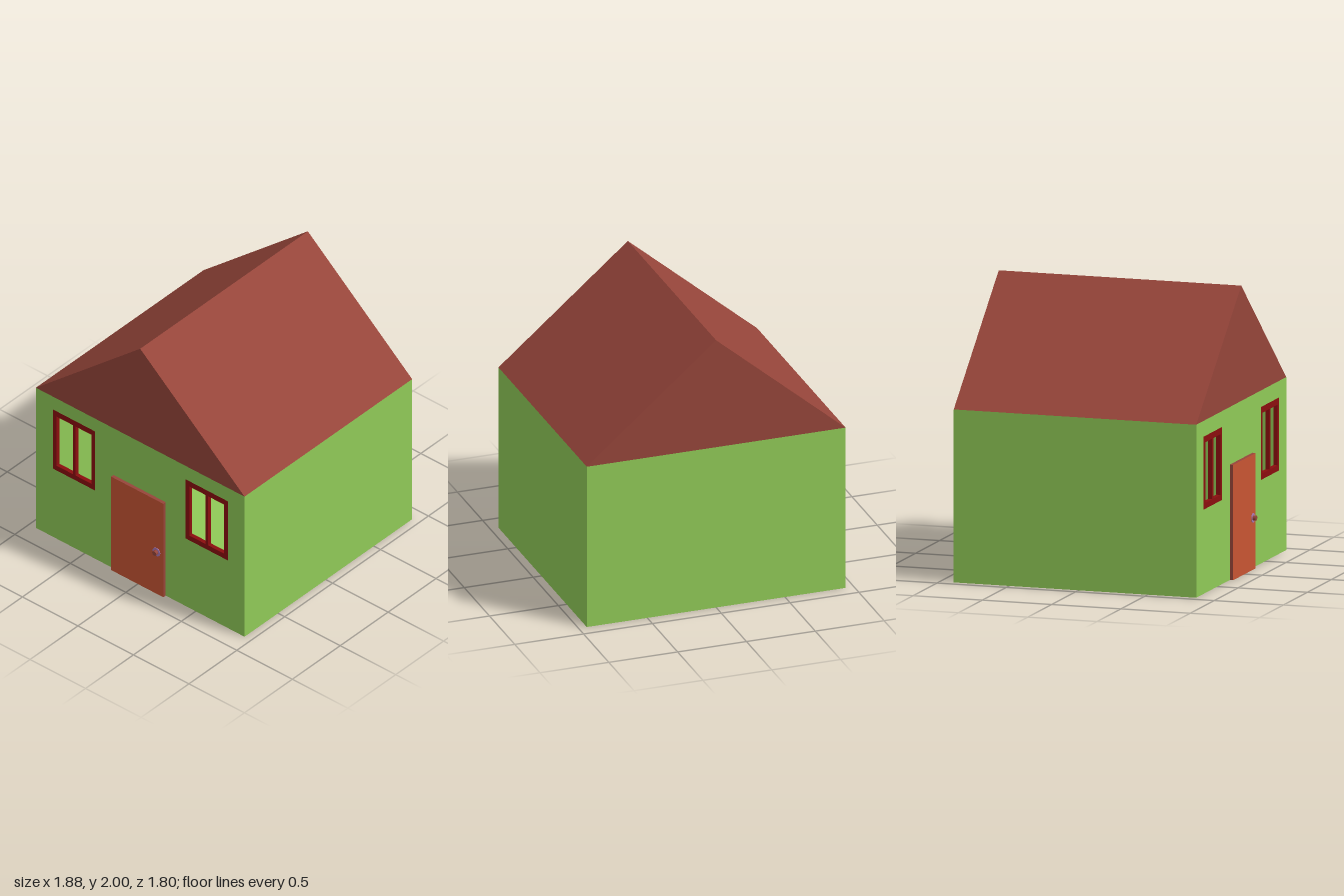
import * as THREE from 'three';

const W = 0.94, EAVE = 1.2, RIDGE = 2, FRONT = 0.85, BACK = -0.9, T = 0.012;

const paint = (name, color) => {
  const m = new THREE.MeshStandardMaterial({ color });
  m.name = name;
  return m;
};

// Rectangle from corner to corner, as a shape or a hole
function rect(x0, y0, x1, y1, Type = THREE.Shape) {
  const p = new Type();
  p.moveTo(x0, y0);
  p.lineTo(x1, y0);
  p.lineTo(x1, y1);
  p.lineTo(x0, y1);
  p.closePath();
  return p;
}

const extrude = (shape, depth) =>
  new THREE.ExtrudeGeometry(shape, { depth, bevelEnabled: false });

export function createModel() {
  const house = new THREE.Group();
  house.name = 'house';
  const green = paint('wall green', 0x90ca57);
  const red = paint('roof red', 0x96453a);
  const orange = paint('door orange', 0xc85533);
  const darkRed = paint('window dark red', 0x8b0e0e);
  const purple = paint('handle purple', 0xa878b8);

  const add = (name, geometry, material, x = 0, y = 0, z = 0, parent = house) => {
    const mesh = new THREE.Mesh(geometry, material);
    mesh.name = name;
    mesh.position.set(x, y, z);
    parent.add(mesh);
    return mesh;
  };

  // Hollow room: floor, back and side walls, and a front wall with window holes
  const midZ = (FRONT + BACK) / 2, depth = FRONT - BACK;
  const windows = [
    { name: 'rightWindow', x: -0.595, y: 0.837 },
    { name: 'leftWindow', x: 0.6, y: 0.832 },
  ];
  const hw = 0.19, hh = 0.253;
  const front = rect(-W, 0, W, EAVE);
  for (const { x, y } of windows) front.holes.push(rect(x - hw, y - hh, x + hw, y + hh, THREE.Path));
  add('frontWall', extrude(front, T), green, 0, 0, FRONT - T);
  add('backWall', new THREE.BoxGeometry(2 * W, EAVE, T), green, 0, EAVE / 2, BACK + T / 2);
  add('floor', new THREE.BoxGeometry(2 * W - 2 * T, T, depth - 2 * T), green, 0, T / 2, midZ);
  for (const s of [-1, 1]) {
    add(s < 0 ? 'rightWall' : 'leftWall', new THREE.BoxGeometry(T, EAVE, depth - 2 * T), green,
      s * (W - T / 2), EAVE / 2, midZ);
  }

  // Gable roof
  const gable = new THREE.Shape();
  gable.moveTo(-W, EAVE);
  gable.lineTo(W, EAVE);
  gable.lineTo(0, RIDGE);
  gable.closePath();
  add('roof', extrude(gable, depth), red, 0, 0, BACK);

  // Open window frames, flush with the front wall, with a central bar
  const frame = rect(-hw, -hh, hw, hh);
  for (const s of [-1, 1]) {
    frame.holes.push(rect(Math.min(s * 0.012, s * 0.157), -0.212, Math.max(s * 0.012, s * 0.157), 0.208, THREE.Path));
  }
  for (const { name, x, y } of windows) add(name, extrude(frame, 0.03), darkRed, x, y, FRONT - 0.03);

  // Door slab with an orange face and red edges
  add('door', new THREE.BoxGeometry(0.47, 0.8, 0.025), [red, red, red, red, orange, red],
    -0.005, 0.4, FRONT + 0.0125);

  // Door handle: round plate and knob
  const handle = new THREE.Group();
  handle.name = 'doorHandle';
  handle.position.set(0.17, 0.36, FRONT + 0.025);
  house.add(handle);
  const disc = (r, h) => new THREE.CylinderGeometry(r, r, h, 24).rotateX(Math.PI / 2);
  add('handlePlate', disc(0.033, 0.004), purple, 0, 0, 0.002, handle);
  add('knob', disc(0.018, 0.026), red, 0, 0, 0.013, handle);

  return house;
}
